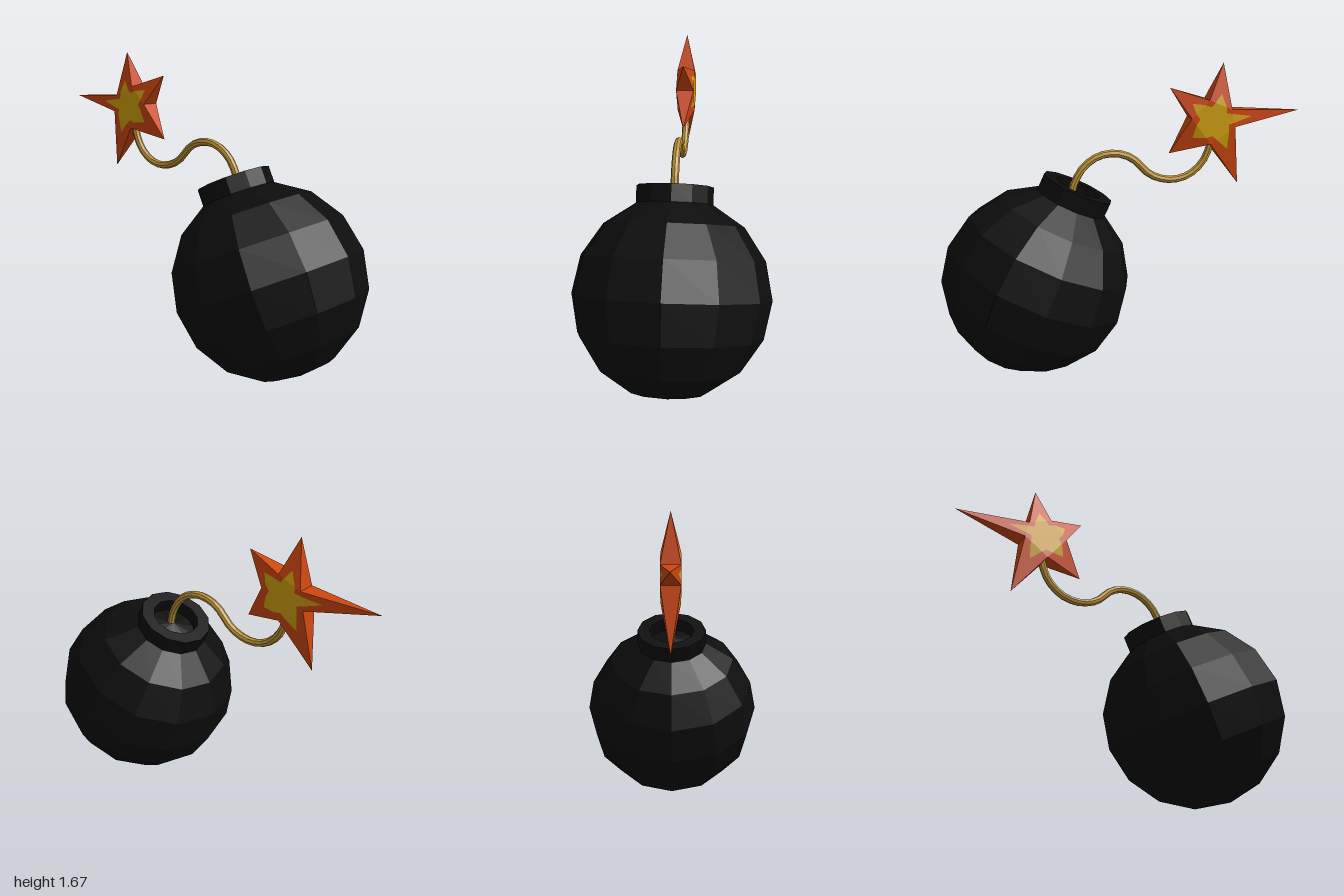
import * as THREE from 'three';

const flat = (name, color) => {
  const m = new THREE.MeshStandardMaterial({ color, flatShading: true });
  m.name = name;
  return m;
};

// Five-pointed spark: flat centre, every spike narrowing to a tip at z = 0
function sparkGeometries() {
  const H = 0.05;
  const v = (x, y, z) => new THREE.Vector3(x, y, z);
  const tips = [[-1, 1.404], [-0.66, 1.003], [-0.26, 1.19], [-0.26, 1.545], [-0.553, 1.67]]
    .map(([x, y]) => v(x, y, 0));
  const notches = [[-0.617, 1.33], [-0.48, 1.24], [-0.372, 1.383], [-0.468, 1.479], [-0.596, 1.425]]
    .map(([x, y]) => v(x, y, H));
  const centre = v(-0.507, 1.371, H);
  const outer = [], inner = [];
  const back = (p) => v(p.x, p.y, -p.z);

  // Convex fan on the front, repeated in reverse order on the back
  const face = (list, ...pts) => {
    for (let i = 1; i < pts.length - 1; i++) {
      list.push(pts[0], pts[i], pts[i + 1]);
      list.push(back(pts[0]), back(pts[i + 1]), back(pts[i]));
    }
  };

  tips.forEach((T, i) => {
    const A = notches[(i + 4) % 5], B = notches[i];
    const mid = A.clone().lerp(B, 0.5);
    const P = mid.clone().lerp(T, 0.27);
    const a = centre.clone().lerp(A, 0.66), b = centre.clone().lerp(B, 0.66);
    const qa = mid.clone().lerp(A, 0.5), qb = mid.clone().lerp(B, 0.5);
    // Glowing core
    face(inner, centre, a, qa, qb, b);
    face(inner, qa, P, qb);
    // Border
    face(outer, a, A, qa);
    face(outer, b, qb, B);
    face(outer, P, qa, A, T);
    face(outer, P, T, B, qb);
    // Side walls
    outer.push(T, back(B), B, T, A, back(A));
  });

  return [outer, inner].map((pts) => {
    const g = new THREE.BufferGeometry().setFromPoints(pts);
    g.computeVertexNormals();
    return g;
  });
}

export function createModel() {
  const black = flat('black iron', 0x0d0d0d);
  const rope = flat('rope tan', 0xc0963a);
  const orange = flat('flame orange', 0xcc4610);
  const yellow = flat('flame yellow', 0xd0a00c);

  const model = new THREE.Group();
  const add = (parent, name, geometry, material) => {
    const mesh = new THREE.Mesh(geometry, material);
    mesh.name = name;
    parent.add(mesh);
    return mesh;
  };

  // Tilted round body with a hollow collar on its pole
  const body = new THREE.Group();
  body.name = 'body';
  body.position.set(0.482, 0.515, 0);
  body.rotation.z = THREE.MathUtils.degToRad(25.3);
  model.add(body);
  add(body, 'shell', new THREE.SphereGeometry(0.515, 12, 8), black);
  const collar = [[0.2, 0.46], [0.2, 0.564], [0.13, 0.564], [0.13, 0.48]]
    .map(([r, y]) => new THREE.Vector2(r, y));
  add(body, 'collar', new THREE.LatheGeometry(collar, 12), black);

  // Wavy fuse from the collar to the spark
  const path = new THREE.CatmullRomCurve3([
    [0.285, 0.95], [0.265, 1.04], [0.21, 1.135], [0.13, 1.19], [0.04, 1.203], [-0.05, 1.175],
    [-0.16, 1.075], [-0.27, 1.042], [-0.37, 1.062], [-0.45, 1.13], [-0.49, 1.22], [-0.5, 1.28],
  ].map(([x, y]) => new THREE.Vector3(x, y, 0)));
  add(model, 'fuse', new THREE.TubeGeometry(path, 24, 0.021, 8), rope);

  // Spark at the end of the fuse
  const spark = new THREE.Group();
  spark.name = 'spark';
  model.add(spark);
  const [border, core] = sparkGeometries();
  add(spark, 'sparkBorder', border, orange);
  add(spark, 'sparkCore', core, yellow);

  return model;
}
